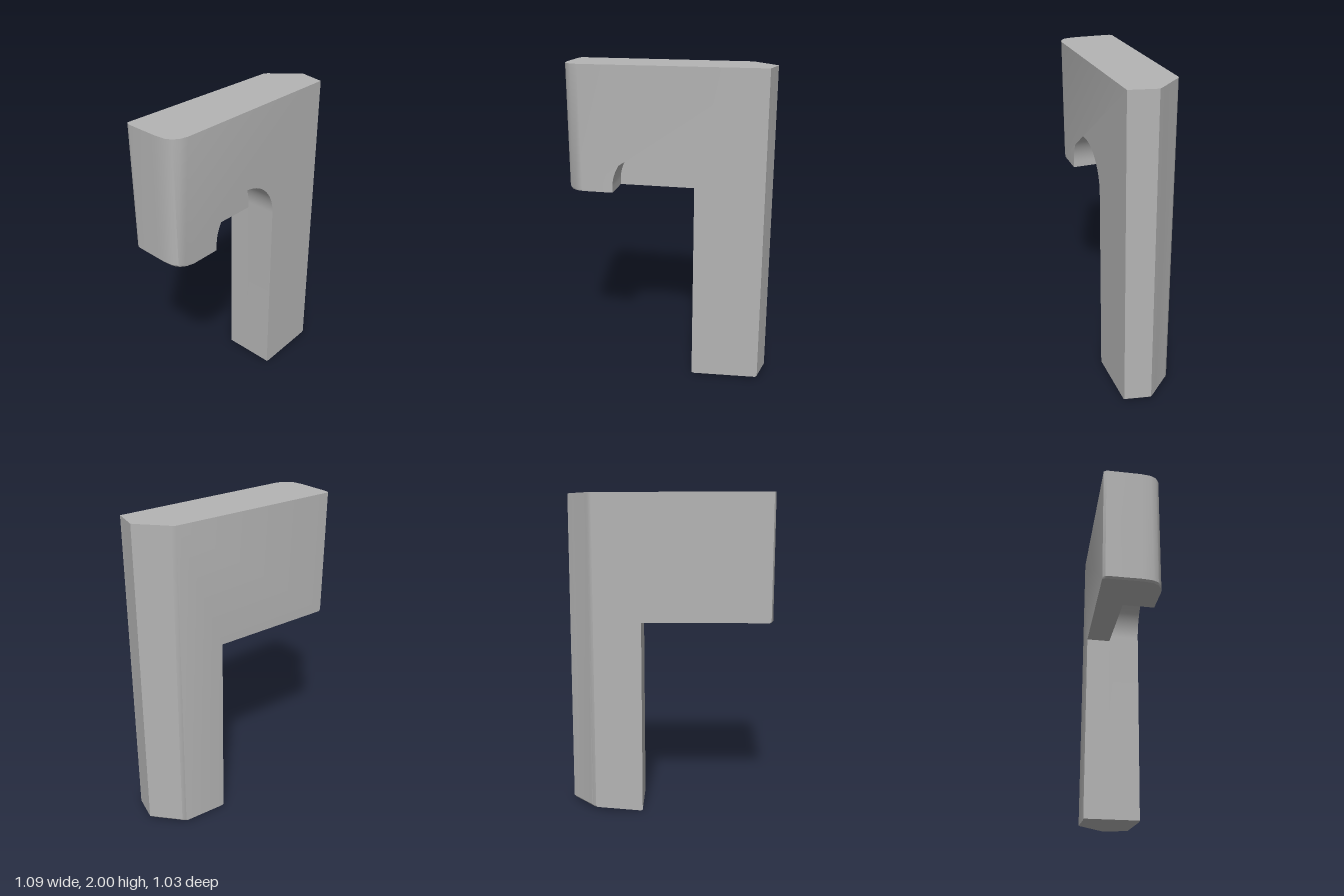
import * as THREE from 'three';
import { toCreasedNormals } from 'three/addons/utils/BufferGeometryUtils.js';

// Stations through the thickness: [depth, near end, far end]
const RECESS = -0.04;
const BACK = [
  [-0.197, -0.58, 0.508], [-0.182, -0.592, 0.53], [-0.167, -0.594, 0.54], [RECESS, -0.597, 0.645],
];
const FRONT = [
  [RECESS, -0.597, 0.645], [-0.006, -0.598, 0.674], [0.03, -0.598, 0.666], [0.09, -0.592, 0.653],
  [0.125, -0.573, 0.645], [0.148, -0.54, 0.64], [0.159, -0.495, 0.638],
];
const ARCH = { x: -0.041, y: 1.254, r: 0.256 };
const ARM_Y = 1.22, INNER = ARCH.x + ARCH.r;

// Side profile of the arm and leg, with or without the arch cut
function profile(withArch) {
  const s = new THREE.Shape();
  s.moveTo(INNER, 0.006);
  s.lineTo(INNER + 0.012, 0);
  s.lineTo(0.63, 0.02);
  s.lineTo(0.64, 0.03);
  s.lineTo(0.64, 2);
  s.lineTo(-0.6, 2);
  s.lineTo(-0.6, ARM_Y + 0.012);
  s.lineTo(-0.59, ARM_Y);
  if (withArch) {
    s.lineTo(ARCH.x - ARCH.r, ARM_Y);
    s.lineTo(ARCH.x - ARCH.r, ARCH.y);
    s.absarc(ARCH.x, ARCH.y, ARCH.r, Math.PI, 0, true);
  } else {
    s.lineTo(INNER, ARM_Y);
  }
  s.closePath();
  return s;
}

// Extrude a layer, drop its hidden cap, then fit the ends to the stations
function layer(shape, stations, hiddenCap) {
  const n = stations.length - 1;
  const src = new THREE.ExtrudeGeometry(shape, { depth: n, steps: n, bevelEnabled: false, curveSegments: 28 });
  const p = src.attributes.position;
  const out = [];
  for (let i = 0; i < p.count; i += 3) {
    const ids = [i, i + 1, i + 2];
    if (ids.every((k) => Math.round(p.getZ(k)) === hiddenCap)) continue;
    for (const k of ids) {
      const [w, near, far] = stations[Math.round(p.getZ(k))];
      const y = p.getY(k);
      let x = p.getX(k);
      if (x < -0.55) x = near + (x + 0.6);
      else if (x > 0.5) x = far + (x - 0.64) + (2 - y) * 0.004;
      // the back face tapers slightly along its length
      const taper = Math.max(0, (RECESS - w) / 0.157) * 0.025 * x;
      out.push(x, y, w + taper);
    }
  }
  const g = new THREE.BufferGeometry();
  g.setAttribute('position', new THREE.Float32BufferAttribute(out, 3));
  return toCreasedNormals(g, 0.6);
}

export function createModel() {
  const grey = new THREE.MeshStandardMaterial({ color: 0xb4b4b4 });
  grey.name = 'plain grey';
  const model = new THREE.Group();
  model.name = 'archedBracket';
  const add = (name, geometry) => {
    const m = new THREE.Mesh(geometry, grey);
    m.name = name;
    model.add(m);
    return m;
  };

  add('frontHalf', layer(profile(true), FRONT, 0));
  add('backHalf', layer(profile(false), BACK, BACK.length - 1));

  // Flat wall at the back of the arched recess
  const wall = new THREE.Shape();
  wall.moveTo(ARCH.x - ARCH.r, ARM_Y);
  wall.lineTo(INNER, ARM_Y);
  wall.absarc(ARCH.x, ARCH.y, ARCH.r, 0, Math.PI, false);
  wall.closePath();
  add('recessWall', new THREE.ShapeGeometry(wall, 28)).position.z = RECESS;

  // The whole bracket stands diagonally
  model.rotation.y = 0.85;
  const root = new THREE.Group();
  root.name = 'bracket';
  root.add(model);
  return root;
}
